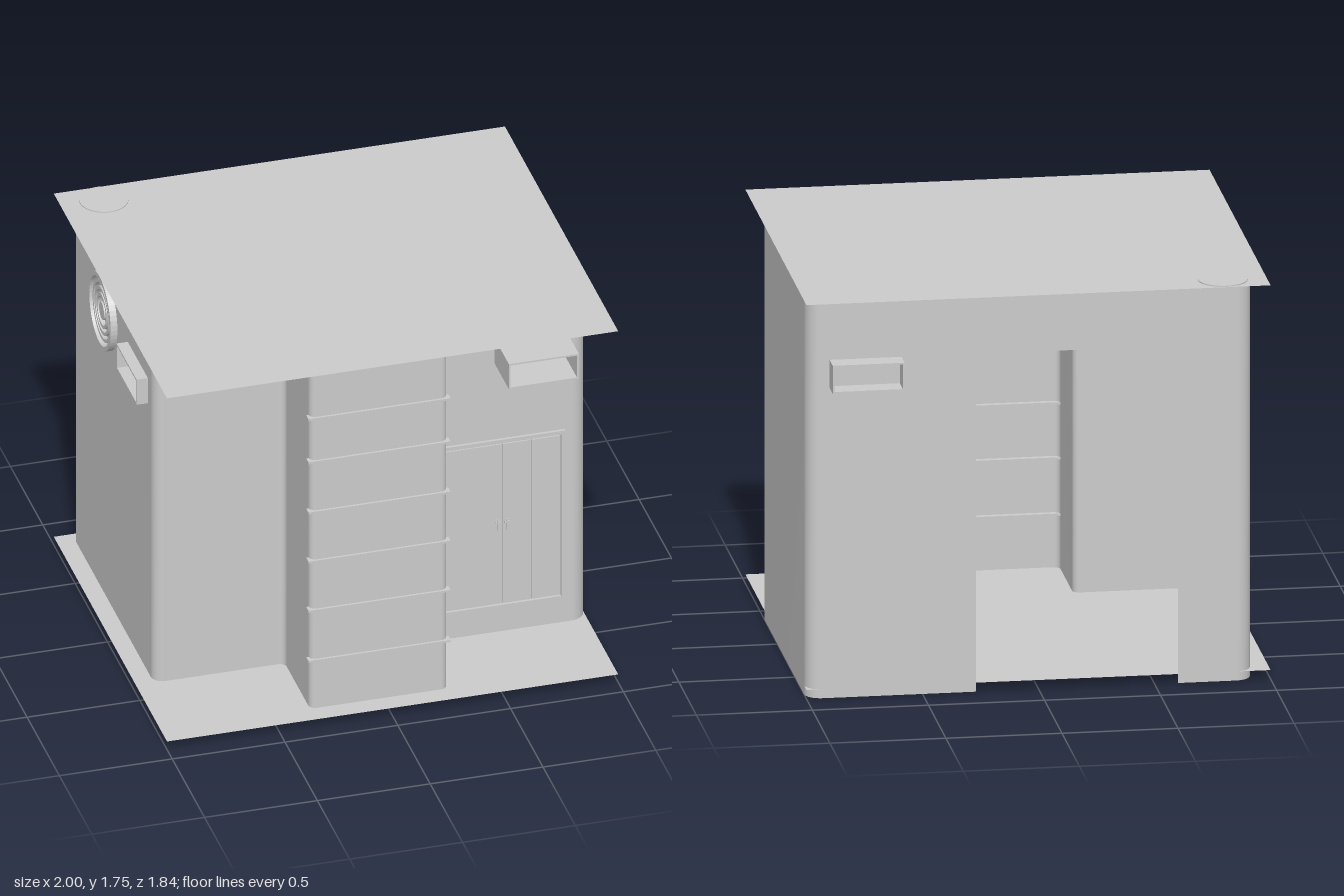
import * as THREE from 'three';

const grey = new THREE.MeshStandardMaterial({ color: 0xcccccc, side: THREE.DoubleSide });
const HEIGHT = 1.75;

function add(parent, name, geometry, x = 0, y = 0, z = 0) {
  const mesh = new THREE.Mesh(geometry, grey);
  mesh.name = name;
  mesh.position.set(x, y, z);
  parent.add(mesh);
  return mesh;
}

// Floor-plan polyline [x, z, cornerRadius] turned into points with rounded corners
function roundedPath(corners) {
  const points = [];
  corners.forEach(([x, z, r], i) => {
    const p = new THREE.Vector2(x, z);
    if (!r) { points.push(p); return; }
    const towards = (q) => new THREE.Vector2(q[0], q[1]).sub(p).setLength(r).add(p);
    const a = towards(corners[i - 1]), b = towards(corners[i + 1]);
    const centre = a.clone().add(b).sub(p);
    const steps = 8;
    for (let k = 0; k <= steps; k++) {
      const t = (k / steps) * Math.PI / 2;
      points.push(centre.clone()
        .addScaledVector(a.clone().sub(centre), Math.cos(t))
        .addScaledVector(b.clone().sub(centre), Math.sin(t)));
    }
  });
  return points;
}

// Vertical sheet following a floor-plan path
function wallSheet(corners, y0, y1) {
  const path = roundedPath(corners);
  const geometry = new THREE.PlaneGeometry(1, 1, path.length - 1, 1);
  const position = geometry.attributes.position;
  for (let i = 0; i < position.count; i++) {
    const p = path[i % path.length];
    position.setXYZ(i, p.x, i < path.length ? y1 : y0, p.y);
  }
  geometry.computeVertexNormals();
  return geometry;
}

// Hollow rectangular duct, mouth at z = 0, running back along -z
function ductGeometry(width, height, length) {
  const rect = (target, w, h) => {
    target.moveTo(-w / 2, -h / 2);
    target.lineTo(w / 2, -h / 2);
    target.lineTo(w / 2, h / 2);
    target.lineTo(-w / 2, h / 2);
    target.closePath();
    return target;
  };
  const shape = rect(new THREE.Shape(), width, height);
  shape.holes.push(rect(new THREE.Path(), width - 0.016, height - 0.016));
  return new THREE.ExtrudeGeometry(shape, { depth: length, bevelEnabled: false }).translate(0, 0, -length);
}

// Flat ring with a square section, axis along y
function ringGeometry(inner, outer, depth) {
  const shape = new THREE.Shape().absarc(0, 0, outer, 0, Math.PI * 2);
  shape.holes.push(new THREE.Path().absarc(0, 0, inner, 0, Math.PI * 2));
  return new THREE.ExtrudeGeometry(shape, { depth, bevelEnabled: false, curveSegments: 24 })
    .translate(0, 0, -depth / 2);
}

export function createModel() {
  const model = new THREE.Group();
  model.name = 'utilityRoom';

  // Outer walls with a front bay and a doorway in the back
  add(model, 'outerWall', wallSheet([
    [-0.6, -0.83, 0], [-0.92, -0.83, 0.07], [-0.92, 0.44, 0.05], [-0.34, 0.44, 0.03],
    [-0.34, 0.83, 0.03], [0.27, 0.83, 0.03], [0.27, 0.44, 0.03], [1, 0.44, 0.07],
    [1, -0.83, 0.07], [0.27, -0.83, 0],
  ], 0, HEIGHT));
  add(model, 'partition', wallSheet([
    [0.27, -0.83, 0], [0.27, -0.08, 0.05], [0.4, -0.08, 0.05], [0.4, -0.83, 0],
  ], 0, HEIGHT));
  add(model, 'doorwayLintel', wallSheet([[-0.6, -0.83, 0], [0.27, -0.83, 0]], 1.5, HEIGHT));

  // Floor and roof sheets
  for (const [name, y] of [['floor', 0.04], ['roof', HEIGHT]]) {
    add(model, name, new THREE.PlaneGeometry(2, 1.75).rotateX(-Math.PI / 2), 0, y, 0.045);
  }

  // Pipe through floor and roof
  add(model, 'cornerPipe', new THREE.CylinderGeometry(0.105, 0.105, 1.72, 40), -0.81, 0.895, -0.72);

  // Slats across the front bay
  for (const y of [0.28, 0.53, 0.775, 1.02, 1.27, 1.485]) {
    add(model, 'baySlat', new THREE.BoxGeometry(0.63, 0.01, 0.035), -0.035, y, 0.8225);
  }

  // Air ducts on the front, back and left walls
  const duct = ductGeometry(0.31, 0.125, 0.57);
  add(model, 'frontDuct', duct, 0.745, 1.44, 0.66);
  add(model, 'backDuct', duct, 0.745, 1.44, -0.92).rotation.y = Math.PI;
  add(model, 'leftDuct', duct, -0.97, 1.44, 0.19).rotation.y = -Math.PI / 2;

  // Round fan grille set through the side wall
  const fan = new THREE.Group();
  fan.name = 'fanGrille';
  fan.position.set(-0.92, 1.465, -0.3);
  fan.rotation.y = -Math.PI / 2;
  model.add(fan);
  add(fan, 'fanFrame', ringGeometry(0.155, 0.175, 0.06));
  for (const r of [0.125, 0.095, 0.065]) add(fan, 'fanRing', ringGeometry(r, r + 0.014, 0.04));
  add(fan, 'fanHub', new THREE.CylinderGeometry(0.04, 0.04, 0.04, 24).rotateX(Math.PI / 2));

  // Folding doors in the front wall, seen from inside and outside
  const doors = new THREE.Group();
  doors.name = 'foldingDoors';
  doors.position.set(0.62, 0.58, 0.44);
  model.add(doors);
  for (const s of [-1, 1]) {
    add(doors, 'doorFrameSide', new THREE.BoxGeometry(0.018, 0.84, 0.024), s * 0.271, 0, 0);
    add(doors, 'doorFrameRail', new THREE.BoxGeometry(0.56, 0.018, 0.024), 0, s * 0.411, 0);
    // Handles on both faces
    for (const f of [-1, 1]) {
      add(doors, 'doorHandle', new THREE.BoxGeometry(0.008, 0.05, 0.008), s * 0.02, 0, f * 0.016);
      add(doors, 'doorKnob', new THREE.BoxGeometry(0.022, 0.008, 0.008), s * 0.02, 0.012, f * 0.016);
    }
  }
  for (let i = 0; i < 4; i++) {
    add(doors, 'doorPanel', new THREE.BoxGeometry(0.124, 0.79, 0.014), (i - 1.5) * 0.13, 0, 0);
  }

  return model;
}
